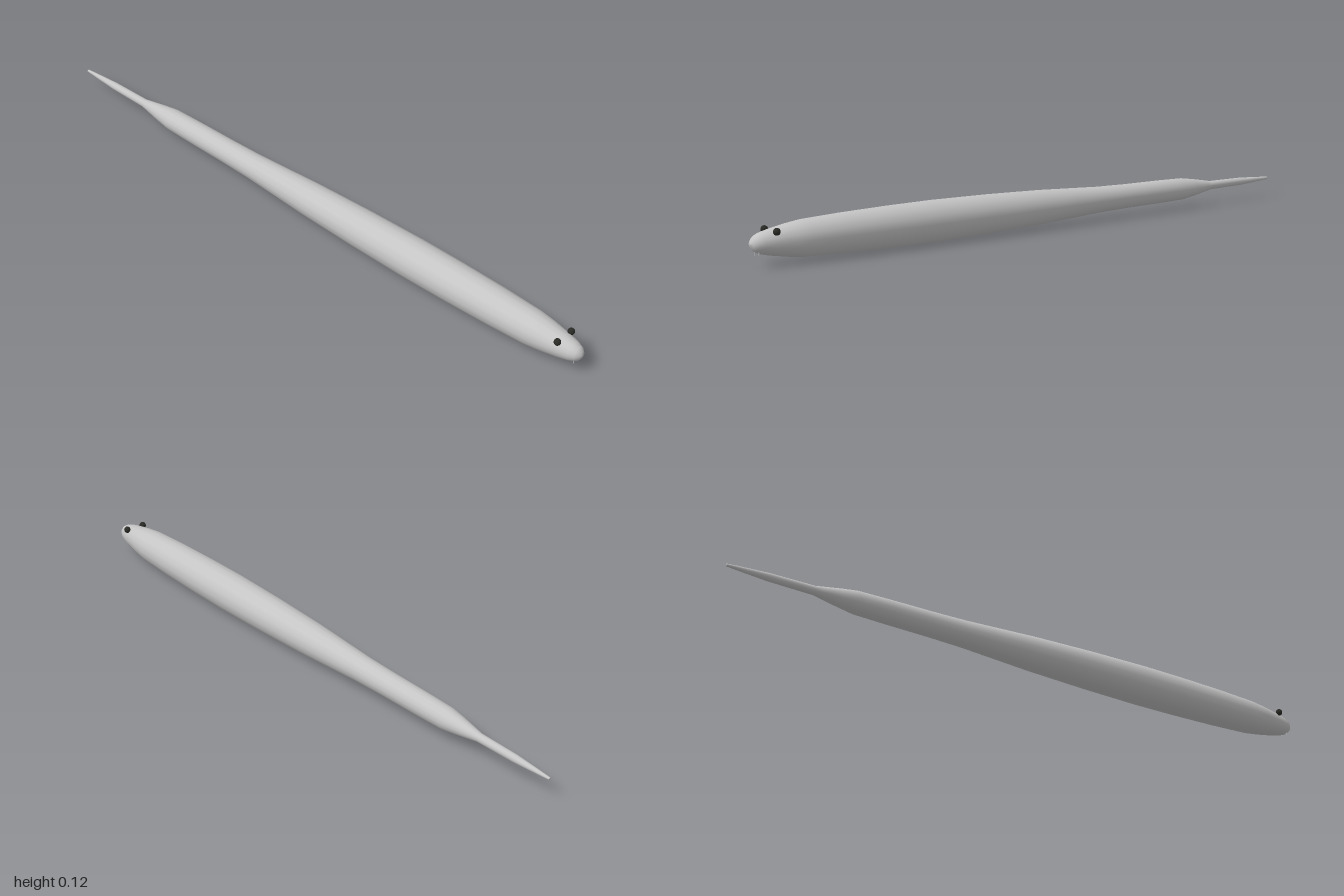
import * as THREE from 'three';

export function createModel() {
  const group = new THREE.Group();
  const skin = new THREE.MeshStandardMaterial({ color: 0xc5c5c5 });
  skin.name = 'pale grey skin';
  const dark = new THREE.MeshStandardMaterial({ color: 0x2a2b26 });
  dark.name = 'dark eye';

  const axisY = 0.062; // height of the body axis

  function add(name, geometry, material, x, y, z) {
    const mesh = new THREE.Mesh(geometry, material);
    mesh.name = name;
    mesh.position.set(x, y, z);
    group.add(mesh);
    return mesh;
  }

  // Body: [radius, z] from the tail tip to the snout
  const profile = [
    [0, -1], [0.004, -0.999], [0.008, -0.94], [0.012, -0.87], [0.0135, -0.73],
    [0.017, -0.71], [0.027, -0.65], [0.034, -0.6], [0.036, -0.5], [0.0375, -0.35],
    [0.04, -0.24], [0.046, -0.12], [0.052, 0], [0.058, 0.2], [0.061, 0.4],
    [0.06, 0.55], [0.057, 0.7], [0.052, 0.83], [0.046, 0.88], [0.036, 0.94],
    [0.029, 0.97], [0.022, 0.987], [0.012, 0.997], [0, 1],
  ].map(([r, z]) => new THREE.Vector2(r, z));
  const bodyGeometry = new THREE.LatheGeometry(profile, 16);
  bodyGeometry.rotateX(Math.PI / 2); // lay the axis along z
  add('body', bodyGeometry, skin, 0, axisY, 0);

  // Eyes and fangs, mirrored
  for (const side of [1, -1]) {
    const label = side > 0 ? 'left' : 'right';
    add(label + 'Eye', new THREE.SphereGeometry(0.0105, 10, 8), dark, side * 0.03, 0.093, 0.936);
    const fang = new THREE.ConeGeometry(0.003, 0.018, 6);
    fang.rotateX(Math.PI); // point down
    add(label + 'Fang', fang, skin, side * 0.01, 0.036, 0.98);
  }
  return group;
}
